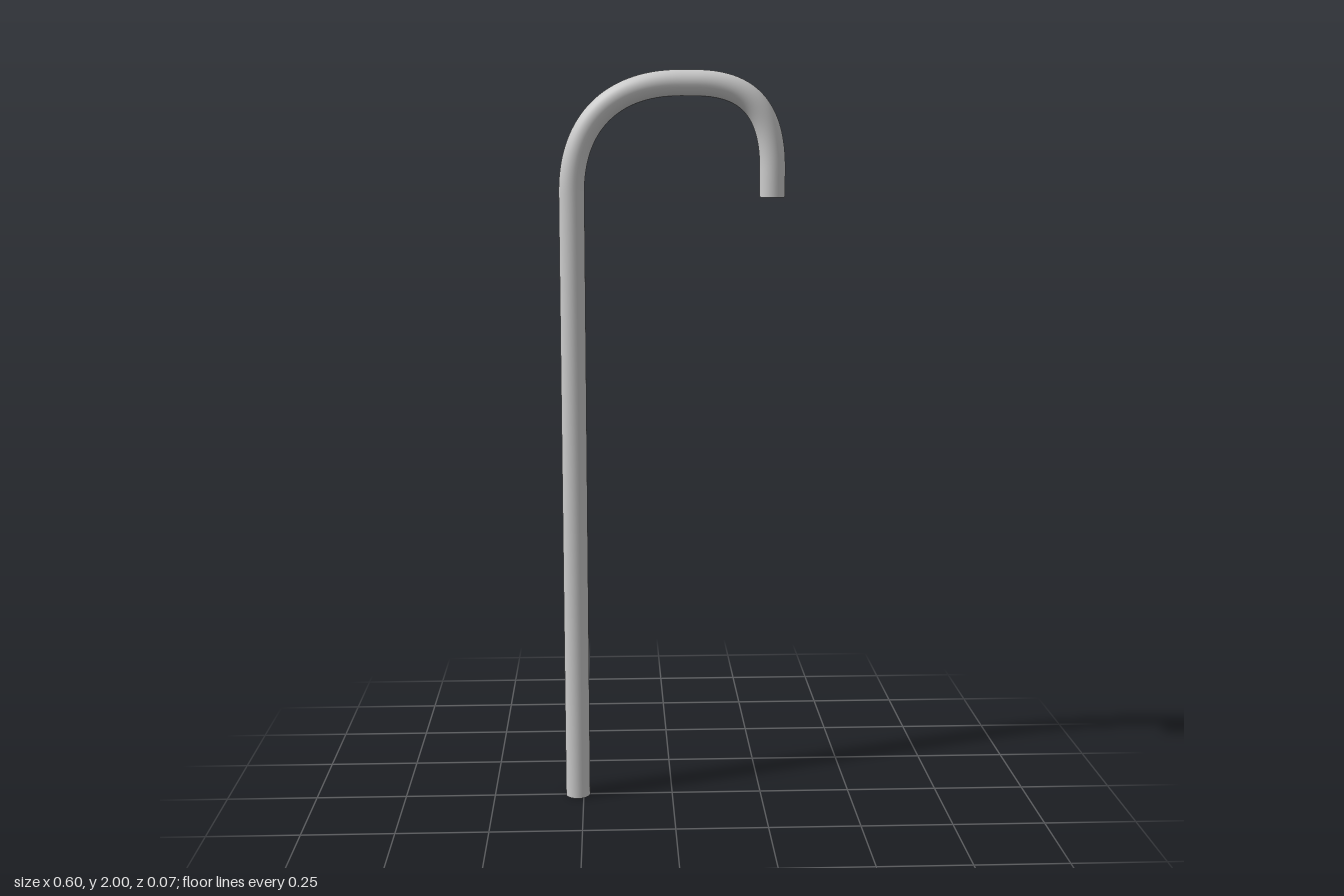
import * as THREE from 'three';

const RADIUS = 0.034;
const SIDES = 32;
const REACH = 0.266; // half the distance between shaft and hook tip
const TOP = 1.966; // centre line height at the crown
const TIP = 1.67; // height of the hook's open end

const v = (x, y) => new THREE.Vector3(x, y, 0);

export function createModel() {
  const group = new THREE.Group();
  group.name = 'cane';
  const material = new THREE.MeshStandardMaterial({ color: 0xcccccc });

  function add(name, geometry) {
    const mesh = new THREE.Mesh(geometry, material);
    mesh.name = name;
    group.add(mesh);
    return mesh;
  }

  // Straight shaft
  const bendStart = 1.68;
  add('shaft', new THREE.CylinderGeometry(RADIUS, RADIUS, bendStart, SIDES, 1, true))
    .position.set(-REACH, bendStart / 2, 0);

  // Handle: wide bend, flat crown, tighter bend, short drop
  const path = new THREE.CurvePath();
  path.add(new THREE.CubicBezierCurve3(v(-REACH, bendStart), v(-REACH, 1.865), v(-0.155, TOP), v(0.02, TOP)));
  path.add(new THREE.LineCurve3(v(0.02, TOP), v(0.06, TOP)));
  path.add(new THREE.CubicBezierCurve3(v(0.06, TOP), v(0.2, TOP), v(REACH, 1.9), v(REACH, 1.74)));
  path.add(new THREE.LineCurve3(v(REACH, 1.74), v(REACH, TIP)));
  add('handle', new THREE.TubeGeometry(path, 72, RADIUS, SIDES, false));

  // Flat discs closing both ends, facing down
  for (const [name, x, y] of [['shaftEnd', -REACH, 0], ['handleEnd', REACH, TIP]]) {
    const cap = add(name, new THREE.CircleGeometry(RADIUS, SIDES));
    cap.rotation.x = Math.PI / 2;
    cap.position.set(x, y, 0);
  }

  return group;
}
